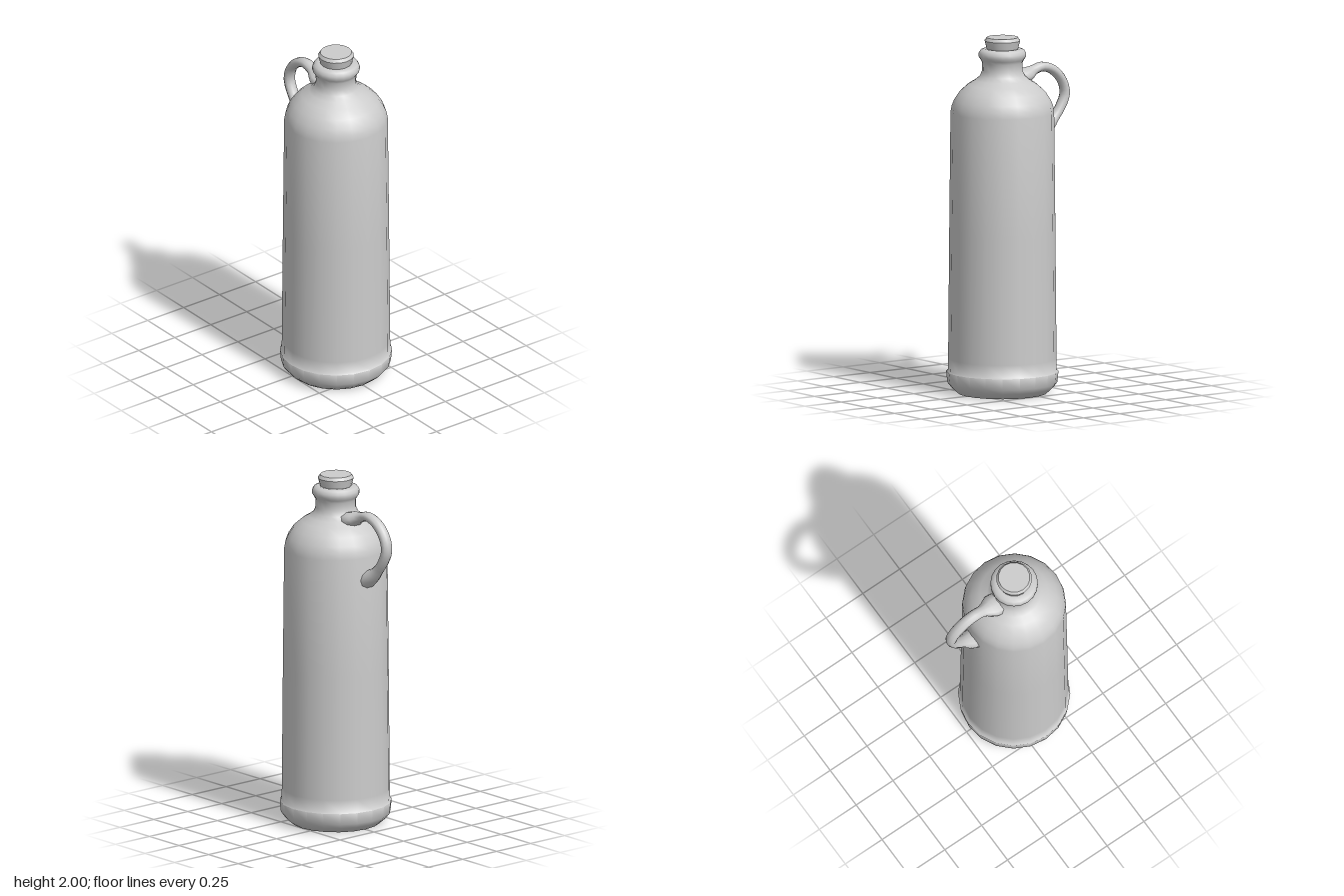
import * as THREE from 'three';
import { toCreasedNormals } from 'three/addons/utils/BufferGeometryUtils.js';

const AXIS_Z = 0.073; // the bottle's axis sits forward of the centre to balance the handle

function lathe(name, profile, sides, crease, material) {
  const points = profile.map(([r, y]) => new THREE.Vector2(r, y));
  const mesh = new THREE.Mesh(
    toCreasedNormals(new THREE.LatheGeometry(points, sides), crease), material);
  mesh.name = name;
  mesh.position.z = AXIS_Z;
  return mesh;
}

// Round loop handle whose two ends flare out where they join the body
function handleGeometry() {
  const path = new THREE.CatmullRomCurve3([
    [1.76, -0.03], [1.775, -0.09], [1.797, -0.145], [1.81, -0.20], [1.785, -0.275],
    [1.72, -0.338], [1.645, -0.357], [1.57, -0.325], [1.505, -0.27], [1.46, -0.215], [1.435, -0.18],
  ].map(([y, z]) => new THREE.Vector3(0, y, z)));
  const rings = 28, sides = 10;
  const geometry = new THREE.TubeGeometry(path, rings, 1, sides, false);
  const position = geometry.attributes.position;
  const v = new THREE.Vector3();
  for (let i = 0; i <= rings; i++) {
    const t = i / rings;
    const centre = path.getPointAt(t);
    const top = 1 - THREE.MathUtils.smoothstep(t, 0.06, 0.18);
    const bottom = THREE.MathUtils.smoothstep(t, 0.78, 0.97);
    const width = 0.034 + 0.034 * top + 0.028 * bottom;
    const thickness = 0.027 + 0.016 * top + 0.018 * bottom;
    for (let j = 0; j <= sides; j++) {
      const k = i * (sides + 1) + j;
      v.fromBufferAttribute(position, k).sub(centre);
      v.set(v.x * width, v.y * thickness, v.z * thickness).add(centre);
      position.setXYZ(k, v.x, v.y, v.z);
    }
  }
  return toCreasedNormals(geometry, 1.1);
}

export function createModel() {
  const group = new THREE.Group();
  group.name = 'handledBottle';
  const material = new THREE.MeshStandardMaterial({ color: 0xcccccc, side: THREE.DoubleSide });

  // Dished underside, foot band, tapering body, shoulder, neck and rolled lip
  group.add(lathe('body', [
    [0, 0.05], [0.08, 0.045], [0.14, 0.022], [0.19, 0.004], [0.25, 0.004],
    [0.285, 0.035], [0.306, 0.062], [0.312, 0.125], [0.302, 0.132],
    [0.301, 0.2], [0.295, 0.9], [0.288, 1.58], [0.282, 1.615], [0.268, 1.65],
    [0.239, 1.695], [0.192, 1.737], [0.15, 1.762], [0.125, 1.785], [0.112, 1.815],
    [0.113, 1.86], [0.121, 1.876], [0.132, 1.892], [0.132, 1.912],
    [0.122, 1.929], [0.1, 1.938], [0.08, 1.935], [0.075, 1.9], [0, 1.9],
  ], 20, 1.05, material));

  // Cork widening upwards, with a bevelled flat top
  group.add(lathe('stopper', [
    [0, 1.88], [0.075, 1.88], [0.088, 1.935], [0.1, 1.982], [0.094, 1.99], [0.088, 2], [0, 2],
  ], 16, 0.6, material));

  const handle = new THREE.Mesh(handleGeometry(), material);
  handle.name = 'handle';
  group.add(handle);
  return group;
}
